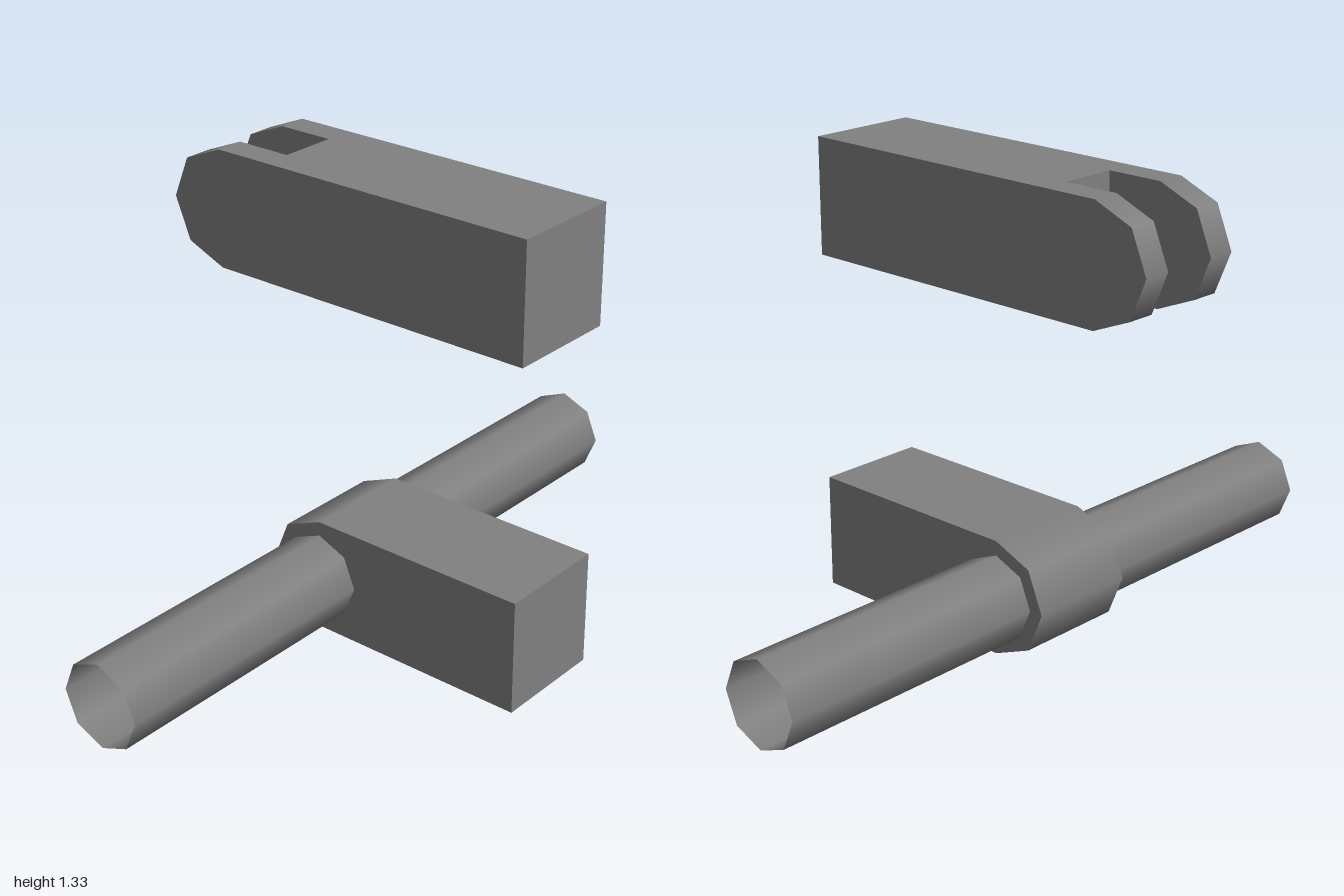
import * as THREE from 'three';

const R = 0.167; // half height of the links, radius of their rounded ends

// Link plate: flat at zFront, rounded in 45 degree steps around zPivot, spanning x0..x1
function roundedLink(zFront, zPivot, x0, x1) {
  const pts = [new THREE.Vector2(-zFront, -R)];
  for (let i = 0; i <= 4; i++) {
    const a = -Math.PI / 2 + (i * Math.PI) / 4;
    pts.push(new THREE.Vector2(-zPivot + R * Math.cos(a), R * Math.sin(a)));
  }
  pts.push(new THREE.Vector2(-zFront, R));
  const geo = new THREE.ExtrudeGeometry(new THREE.Shape(pts), { depth: x1 - x0, bevelEnabled: false });
  geo.rotateY(Math.PI / 2);
  geo.translate(x0, R, 0);

  // Smooth the rounded end with radial normals
  const p = geo.attributes.position, n = geo.attributes.normal;
  for (let i = 0; i < p.count; i++) {
    if (Math.abs(n.getX(i)) > 0.5 || p.getZ(i) > zPivot + 1e-4) continue;
    const v = new THREE.Vector3(0, p.getY(i) - R, p.getZ(i) - zPivot).normalize();
    n.setXYZ(i, v.x, v.y, v.z);
  }
  return geo;
}

export function createModel() {
  const model = new THREE.Group();
  const grey = new THREE.MeshStandardMaterial({ color: 0x808080, side: THREE.DoubleSide });
  grey.name = 'grey';

  const add = (name, geo, parent = model) => {
    const mesh = new THREE.Mesh(geo, grey);
    mesh.name = name;
    parent.add(mesh);
    return mesh;
  };

  // Lower link with its open-ended pin
  add('lowerLink', roundedLink(0.583, -0.083, -0.165, 0.165));
  const pin = new THREE.CylinderGeometry(0.125, 0.125, 2, 8, 1, true);
  pin.rotateZ(Math.PI / 2);
  add('pin', pin).position.set(0, R, -0.083);

  // Upper link: solid body and two rounded prongs
  const fork = new THREE.Group();
  fork.name = 'upperLink';
  fork.position.y = 1;
  model.add(fork);
  add('forkBody', new THREE.BoxGeometry(0.33, 2 * R, 0.833), fork).position.set(0, R, 0.1665);
  add('leftProng', roundedLink(-0.25, -0.417, 0.083, 0.165), fork);
  add('rightProng', roundedLink(-0.25, -0.417, -0.165, -0.083), fork);

  return model;
}
